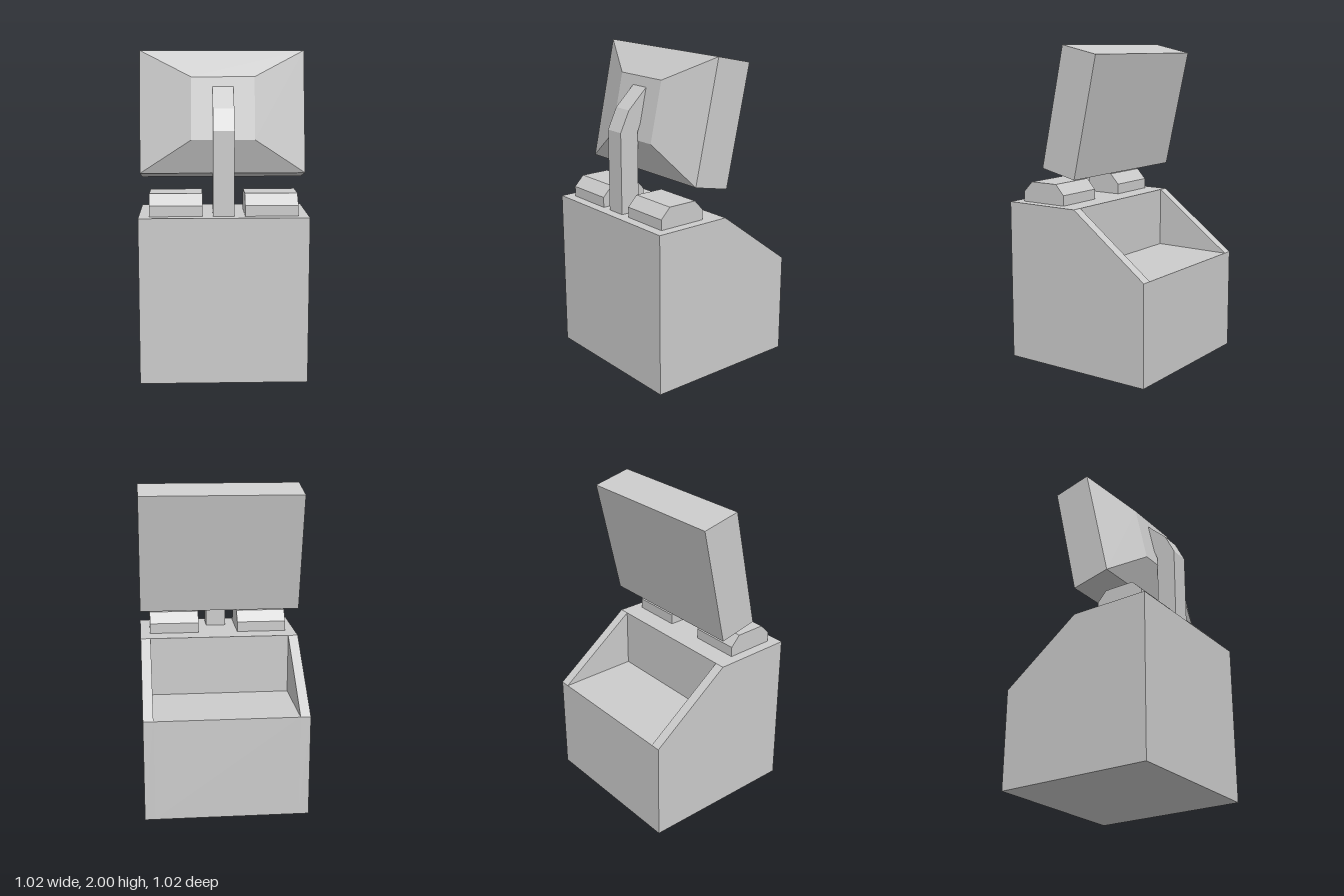
import * as THREE from 'three';

const material = new THREE.MeshStandardMaterial({ color: 0xcccccc, flatShading: true });

// Extrudes a side profile of [z, y] points across x, from x0 to x1
function slab(name, profile, x0, x1) {
  const shape = new THREE.Shape(profile.map(([z, y]) => new THREE.Vector2(-z, y)));
  const geometry = new THREE.ExtrudeGeometry(shape, { depth: x1 - x0, bevelEnabled: false });
  geometry.rotateY(Math.PI / 2).translate(x0, 0, 0);
  const mesh = new THREE.Mesh(geometry, material);
  mesh.name = name;
  return mesh;
}

// Monitor: a box whose +z side tapers to a smaller rectangle
function makeMonitor() {
  const sections = [
    { z: -0.125, w: 0.51, h: 0.382 },
    { z: 0.125, w: 0.51, h: 0.382 },
    { z: 0.252, w: 0.193, h: 0.192 },
  ];
  const geometry = new THREE.BoxGeometry(2, 2, 2, 1, 1, 2).toNonIndexed();
  const p = geometry.attributes.position;
  for (let i = 0; i < p.count; i++) {
    const s = sections[Math.round(p.getZ(i)) + 1];
    p.setXYZ(i, p.getX(i) * s.w, p.getY(i) * s.h, s.z);
  }
  geometry.computeVertexNormals();
  const mesh = new THREE.Mesh(geometry, material);
  mesh.name = 'monitor';
  mesh.position.set(0, 1.6, 0.035);
  mesh.rotation.x = THREE.MathUtils.degToRad(-12.5);
  return mesh;
}

export function createModel() {
  const model = new THREE.Group();
  model.name = 'consoleDesk';

  // Cabinet: stepped core between two sloped cheeks
  const core = [[0.51, 0], [0.51, 1.02], [0, 1.02], [0, 0.64], [-0.51, 0.64], [-0.51, 0]];
  const cheek = [[0.51, 0], [0.51, 1.02], [0, 1.02], [-0.51, 0.64], [-0.51, 0]];
  model.add(slab('cabinetCore', core, -0.447, 0.447));
  model.add(slab('leftCheek', cheek, 0.447, 0.51));
  model.add(slab('rightCheek', cheek, -0.51, -0.447));

  // Chamfered blocks on the cabinet top
  const block = [[0.447, 1.02], [0.447, 1.085], [0.383, 1.15], [0.19, 1.15], [0.13, 1.085], [0.13, 1.02]];
  model.add(slab('leftBlock', block, 0.128, 0.447));
  model.add(slab('rightBlock', block, -0.447, -0.128));

  // Bent arm, its tip buried in the monitor housing
  const arm = [
    [0.447, 1.02], [0.447, 1.53], [0.383, 1.66], [0.24, 1.795],
    [0.2, 1.67], [0.3, 1.57], [0.32, 1.52], [0.32, 1.02],
  ];
  model.add(slab('arm', arm, -0.064, 0.064));

  model.add(makeMonitor());
  return model;
}
